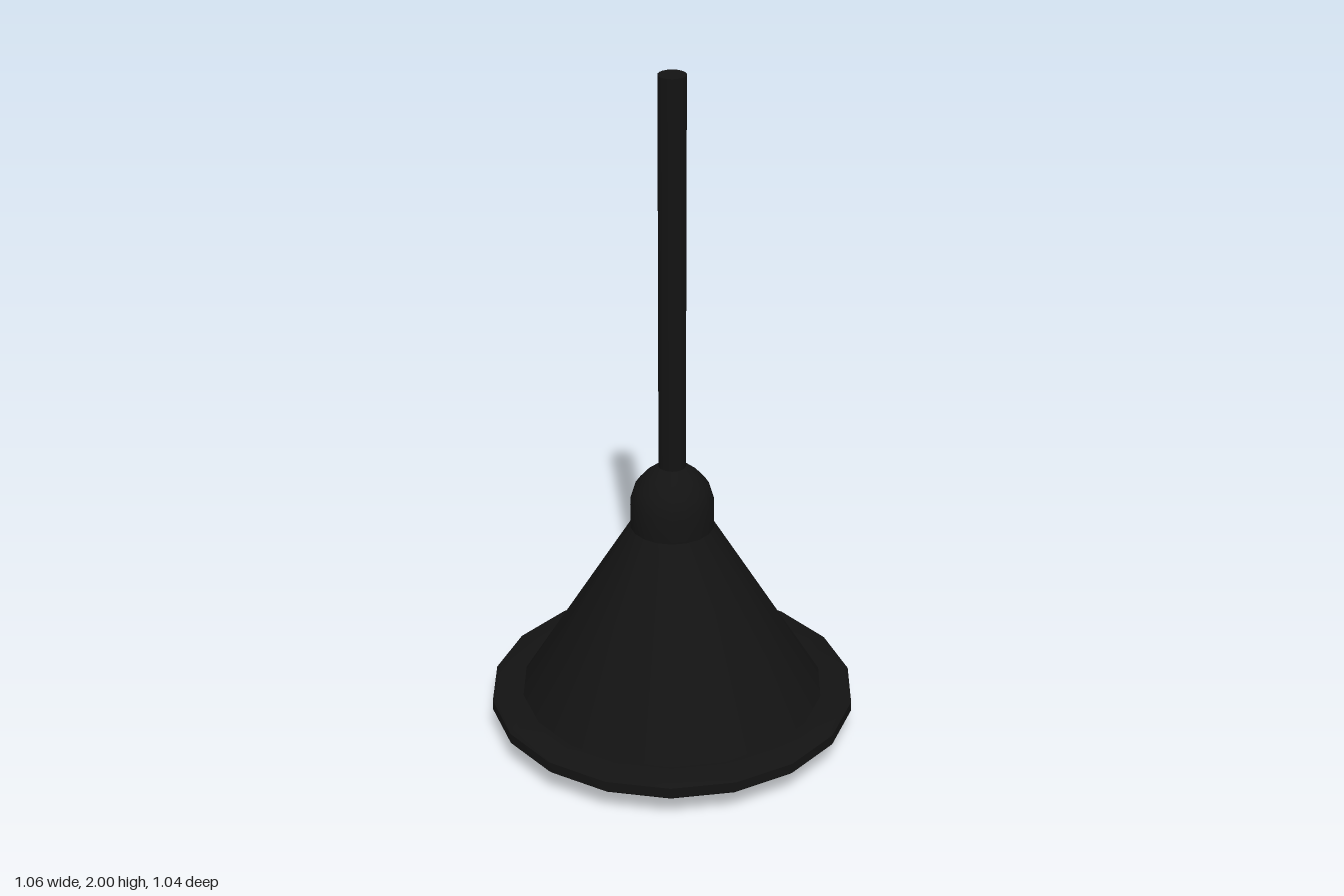
import * as THREE from 'three';
import { toCreasedNormals } from 'three/addons/utils/BufferGeometryUtils.js';

const SIDES = 18;

export function createModel() {
  const group = new THREE.Group();
  group.name = 'pendantLamp';
  const black = new THREE.MeshStandardMaterial({ color: 0x131313 });
  const amber = new THREE.MeshStandardMaterial({ color: 0xb08d60 });

  // Turned part from [radius, height] pairs; outer surface runs upwards
  function turned(name, profile, material) {
    const points = profile.map(([r, y]) => new THREE.Vector2(r, y));
    const geometry = new THREE.LatheGeometry(points, SIDES, Math.PI / 2);
    const mesh = new THREE.Mesh(toCreasedNormals(geometry, 0.75), material);
    mesh.name = name;
    group.add(mesh);
  }

  // Hanging rod
  turned('rod', [[0, 0.8], [0.039, 0.8], [0.039, 2], [0, 2]], black);

  // Domed cap over the top of the shade
  turned('cap', [
    [0, 0.65], [0.12, 0.65], [0.12, 0.735], [0.105, 0.785],
    [0.075, 0.82], [0.04, 0.848], [0, 0.85],
  ], black);

  // Conical shade with an inner wall
  turned('shade', [
    [0.425, 0.12], [0.445, 0.12], [0.12, 0.66], [0, 0.66],
    [0, 0.645], [0.105, 0.645], [0.425, 0.12],
  ], black);

  // Flat rim with chamfered edges
  turned('rim', [
    [0.42, 0.09], [0.43, 0.08], [0.518, 0.08], [0.529, 0.09],
    [0.529, 0.12], [0.518, 0.13], [0.43, 0.13], [0.42, 0.12], [0.42, 0.09],
  ], black);

  // Bulb, tapering to its neck inside the shade
  turned('bulb', [
    [0, 0], [0.05, 0.015], [0.095, 0.042], [0.135, 0.08], [0.165, 0.13],
    [0.18, 0.2], [0.18, 0.3], [0.165, 0.37], [0.13, 0.45],
    [0.09, 0.54], [0.08, 0.65], [0, 0.65],
  ], amber);

  return group;
}
